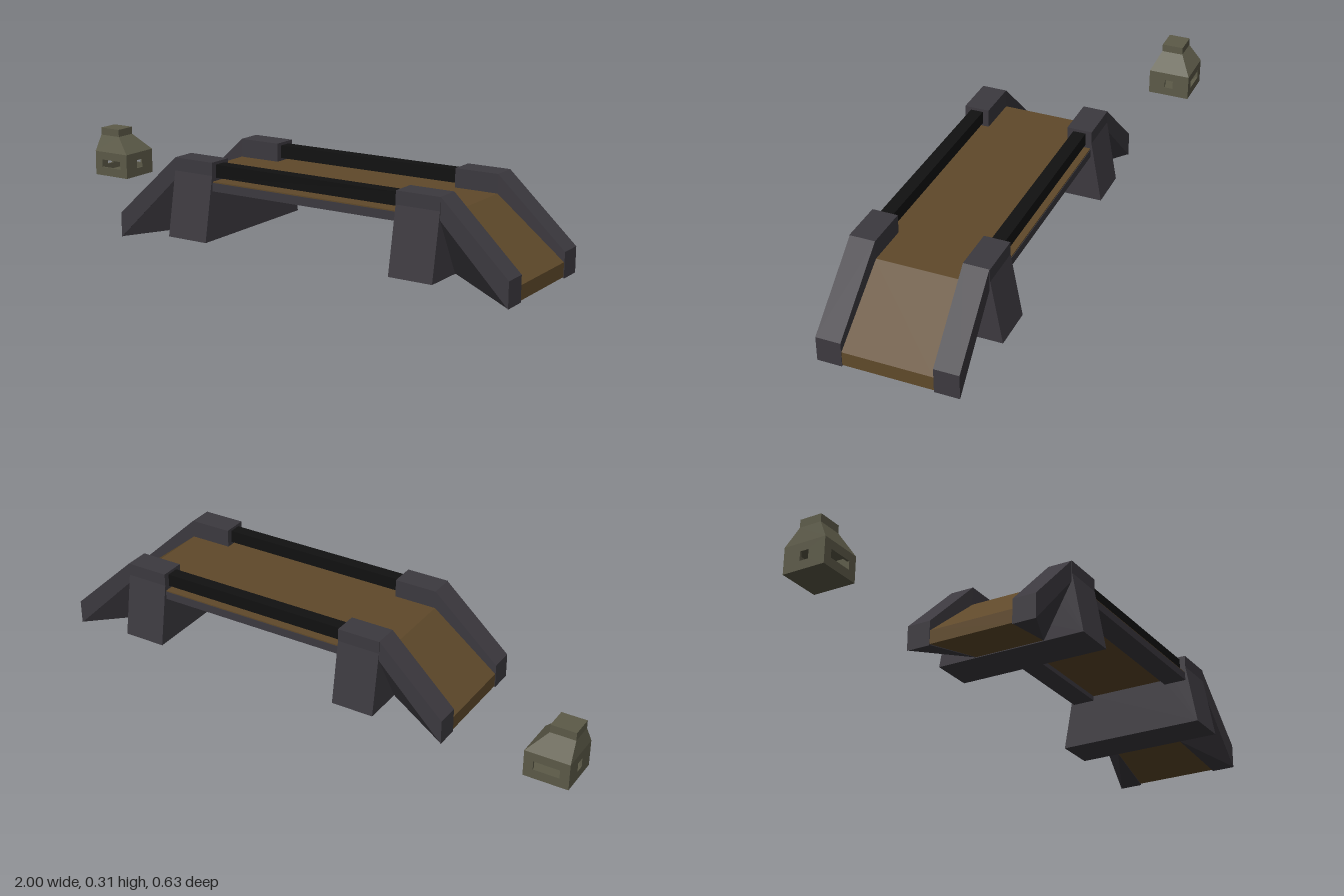
import * as THREE from 'three';
import { ConvexGeometry } from 'three/addons/geometries/ConvexGeometry.js';

const mat = (color) => new THREE.MeshStandardMaterial({ color, flatShading: true, side: THREE.DoubleSide });
const STONE = mat(0x3c393f), WOOD = mat(0x5f492a), BLACK = mat(0x111111), BUNKER = mat(0x5c5a48);
const MID_Z = 0.04; // centre line of the bridge

function add(parent, name, geometry, material) {
  const mesh = new THREE.Mesh(geometry, material);
  mesh.name = name;
  parent.add(mesh);
  return mesh;
}

// Box given by its lower and upper corners
function block(parent, name, material, [x0, y0, z0], [x1, y1, z1]) {
  const mesh = add(parent, name, new THREE.BoxGeometry(x1 - x0, y1 - y0, z1 - z0), material);
  mesh.position.set((x0 + x1) / 2, (y0 + y1) / 2, (z0 + z1) / 2);
  return mesh;
}

// Convex solid from corner points
const solid = (parent, name, material, points) =>
  add(parent, name, new ConvexGeometry(points.map((p) => new THREE.Vector3(...p))), material);

// Wall panel with a rectangular window, centred on its own origin
function windowWall(width, height, winW, winH, winX, winY, depth) {
  const shape = new THREE.Shape();
  shape.moveTo(-width / 2, -height / 2);
  shape.lineTo(width / 2, -height / 2);
  shape.lineTo(width / 2, height / 2);
  shape.lineTo(-width / 2, height / 2);
  const hole = new THREE.Path();
  hole.moveTo(winX - winW / 2, winY - winH / 2);
  hole.lineTo(winX - winW / 2, winY + winH / 2);
  hole.lineTo(winX + winW / 2, winY + winH / 2);
  hole.lineTo(winX + winW / 2, winY - winH / 2);
  shape.holes.push(hole);
  return new THREE.ExtrudeGeometry(shape, { depth, bevelEnabled: false }).translate(0, 0, -depth / 2);
}

// Bridge built around its own centre: x = length, z = width
function createBridge() {
  const bridge = new THREE.Group();
  bridge.name = 'bridge';

  block(bridge, 'deck', WOOD, [-0.51, 0.235, -0.233], [0.51, 0.25, 0.233]);
  for (const s of [-1, 1]) {
    const z = (a, b) => [Math.min(s * a, s * b), Math.max(s * a, s * b)];
    const [b0, b1] = z(0.15, 0.235);
    block(bridge, 'sideBeam', STONE, [-0.37, 0.217, b0], [0.37, 0.246, b1]);
    const [r0, r1] = z(0.17, 0.215);
    block(bridge, 'railing', BLACK, [-0.37, 0.26, r0], [0.37, 0.305, r1]);
  }

  // Pier cross-section: flared legs joined below the deck, two towers above it
  const half = [[0.277, 0.047], [0.237, 0.27], [0.237, 0.315], [0.148, 0.315], [0.148, 0.235]];
  const outline = [...half, ...half.map(([z, y]) => [-z, y]).reverse()];
  const pierShape = new THREE.Shape(outline.map(([z, y]) => new THREE.Vector2(z, y)));
  const pierGeometry = new THREE.ExtrudeGeometry(pierShape, { depth: 0.156, bevelEnabled: false })
    .translate(0, 0, -0.078).rotateY(-Math.PI / 2);

  for (const e of [-1, 1]) {
    add(bridge, 'pier', pierGeometry, STONE).position.x = e * 0.432;

    // Sloping ramp wedge
    const ramp = [];
    for (const s of [-1, 1]) {
      ramp.push([e * 0.51, 0.25, s * 0.155], [e * 0.748, 0.056, s * 0.155],
        [e * 0.748, 0.007, s * 0.155], [e * 0.51, 0.05, s * 0.13]);
    }
    solid(bridge, 'ramp', WOOD, ramp);

    for (const s of [-1, 1]) {
      // Curb along the ramp, spreading slightly toward its foot
      const curb = [];
      for (const w of [0, 1]) {
        const top = s * (w ? 0.235 : 0.148), foot = s * (w ? 0.241 : 0.155);
        curb.push([e * 0.51, 0.315, top], [e * 0.51, 0.24, top],
          [e * 0.75, 0.09, foot], [e * 0.75, 0.002, foot]);
      }
      solid(bridge, 'rampCurb', STONE, curb);

      // Gusset tapering inward under the curb
      solid(bridge, 'curbGusset', STONE, [
        [e * 0.51, 0.24, s * 0.235], [e * 0.51, 0.24, s * 0.14],
        [e * 0.748, 0.004, s * 0.24], [e * 0.748, 0.004, s * 0.155],
        [e * 0.51, 0.049, s * 0.13],
      ]);
    }
  }
  bridge.position.set(0.25, 0, MID_Z);
  return bridge;
}

// Small hollow bunker with a window in every wall
function createBunker() {
  const bunker = new THREE.Group();
  bunker.name = 'bunker';
  const W = 0.155, H = 0.093, T = 0.008, winY = 0.001;

  for (const s of [-1, 1]) {
    add(bunker, 'longWindowWall', windowWall(W, H, 0.09, 0.03, 0, winY, T), BUNKER)
      .position.z = s * (W - T) / 2;
    const side = add(bunker, 'smallWindowWall', windowWall(W, H, 0.032, 0.032, 0, winY, T), BUNKER);
    side.rotation.y = Math.PI / 2;
    side.position.x = s * (W - T) / 2;
  }
  block(bunker, 'floor', BUNKER, [-W / 2, -H / 2, -W / 2], [W / 2, -H / 2 + T, W / 2]);

  // Lopsided hipped roof and the turret on top
  const h = W / 2, y0 = H / 2, y1 = 0.107;
  const roof = [];
  for (const [x, z] of [[-h, -h], [h, -h], [h, h], [-h, h]]) roof.push([x, y0, z]);
  for (const [x, z] of [[-0.07, -0.03], [0.018, -0.03], [0.018, 0.05], [-0.07, 0.05]]) roof.push([x, y1, z]);
  solid(bunker, 'roof', BUNKER, roof);
  block(bunker, 'turret', BUNKER, [-0.07, y1, -0.03], [0.018, 0.135, 0.05]);

  bunker.position.set(-1 + h, 0.082 + H / 2, -0.316 + h);
  return bunker;
}

export function createModel() {
  const model = new THREE.Group();
  model.name = 'bridgeAndBunker';
  model.add(createBridge(), createBunker());
  return model;
}
